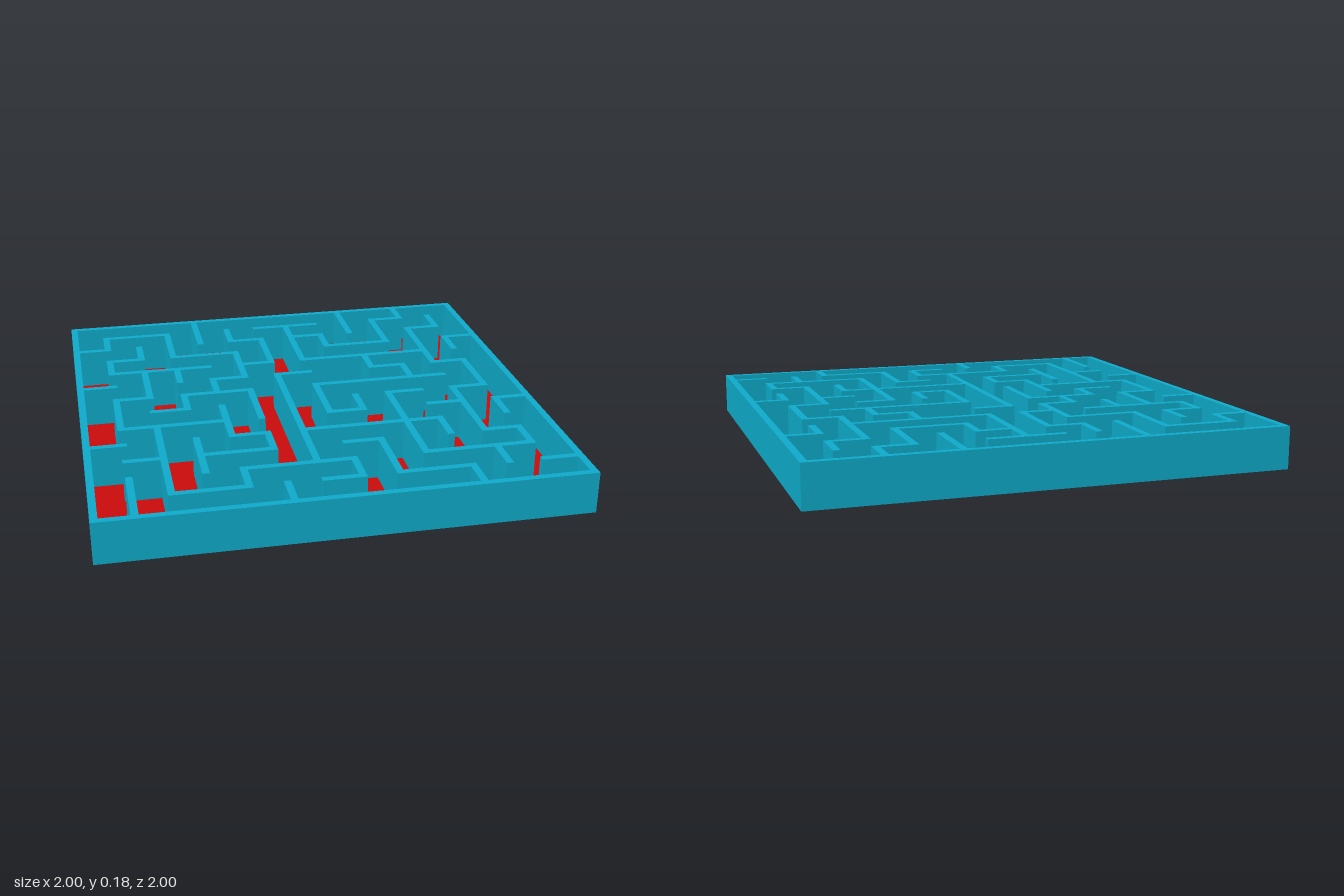
import * as THREE from 'three';

const CELLS = 13, WALL = 0.03, HEIGHT = 0.18;
const PITCH = (2 - WALL) / CELLS;
const at = (i) => -1 + WALL / 2 + i * PITCH;

// Wall runs as [from, to] grid indices on each inner grid line
const ROWS = [
  [[1, 3], [6, 8], [10, 11]],
  [[0, 1], [5, 6], [7, 8], [11, 12]],
  [[1, 2], [3, 5], [8, 10], [12, 13]],
  [[1, 4], [5, 6], [7, 11]],
  [[0, 1], [4, 5], [6, 7], [9, 10], [11, 12]],
  [[1, 2], [3, 5], [7, 11]],
  [[2, 3], [9, 10], [11, 12]],
  [[1, 4], [7, 8], [10, 11], [12, 13]],
  [[0, 1], [4, 5], [6, 10]],
  [[1, 2], [3, 5], [7, 8], [11, 12]],
  [[4, 7], [9, 12]],
  [[2, 4], [6, 7], [8, 10], [12, 13]],
];
const COLUMNS = [
  [[1, 2], [3, 4], [6, 8], [11, 13]],
  [[2, 3], [4, 6], [8, 12]],
  [[1, 3], [4, 5], [6, 7], [9, 11]],
  [[0, 2], [5, 6], [7, 9], [11, 12]],
  [[1, 2], [3, 5], [6, 8], [9, 10], [12, 13]],
  [[2, 4], [5, 11]],
  [[1, 4], [6, 8], [11, 12]],
  [[2, 3], [7, 8], [10, 12]],
  [[0, 2], [4, 5], [7, 11]],
  [[1, 3], [5, 6], [9, 10], [12, 13]],
  [[0, 1], [2, 5], [7, 10], [11, 12]],
  [[1, 2], [3, 4], [5, 7], [8, 9], [10, 11]],
];

export function createModel() {
  const model = new THREE.Group();
  model.name = 'maze';
  const wallMaterial = new THREE.MeshStandardMaterial({ color: 0x0eaccc });
  const floorMaterial = new THREE.MeshStandardMaterial({ color: 0xcc0c0c });

  // One straight wall along a grid line, with square ends
  function addWall(parent, name, line, from, to, alongX) {
    const length = (to - from) * PITCH + WALL;
    const mid = at((from + to) / 2);
    const wall = new THREE.Mesh(
      new THREE.BoxGeometry(alongX ? length : WALL, HEIGHT, alongX ? WALL : length),
      wallMaterial
    );
    wall.name = name;
    wall.position.set(alongX ? mid : at(line), HEIGHT / 2, alongX ? at(line) : mid);
    parent.add(wall);
  }

  // Thin floor, its edges hidden inside the rim
  const floor = new THREE.Mesh(new THREE.BoxGeometry(2 - WALL, 0.004, 2 - WALL), floorMaterial);
  floor.name = 'floor';
  floor.position.y = 0.004;
  model.add(floor);

  // Outer rim
  const rim = new THREE.Group();
  rim.name = 'outerWalls';
  for (const line of [0, CELLS]) {
    addWall(rim, 'outerWall', line, 0, CELLS, true);
    addWall(rim, 'outerWall', line, 0, CELLS, false);
  }
  model.add(rim);

  // Inner maze walls
  const inner = new THREE.Group();
  inner.name = 'innerWalls';
  ROWS.forEach((runs, i) => runs.forEach(([a, b]) => addWall(inner, 'crossWall', i + 1, a, b, true)));
  COLUMNS.forEach((runs, i) => runs.forEach(([a, b]) => addWall(inner, 'lengthWall', i + 1, a, b, false)));
  model.add(inner);

  return model;
}
